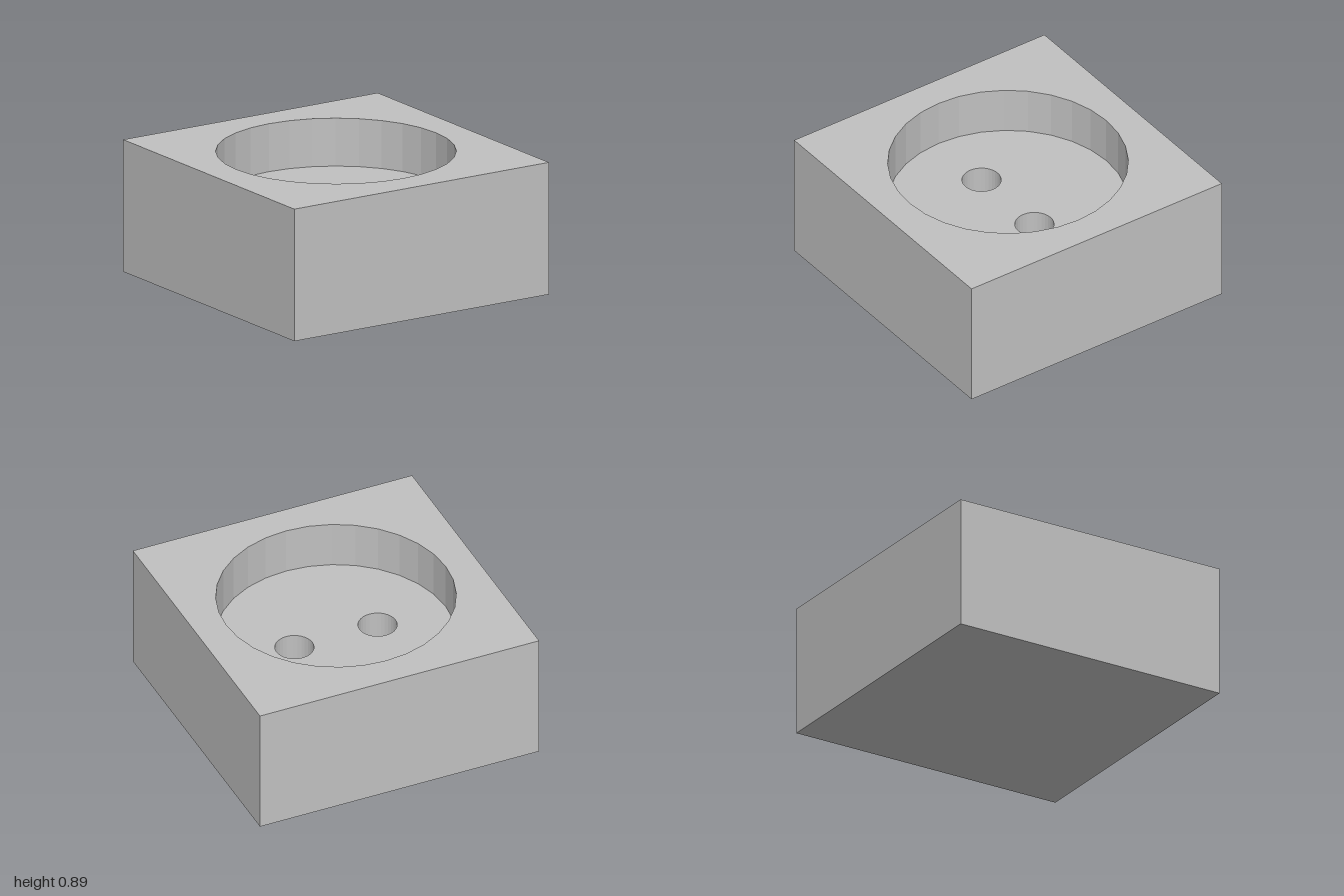
import * as THREE from 'three';

const HEIGHT = 0.895, FLOOR = 0.57, HOLE_BOTTOM = 0.25;
const BOWL_R = 0.785, HOLE_R = 0.128, HOLE_X = 0.298, SIDES = 32;

// Points of a regular ring, used for outlines and cut-outs
function ring(r, cx = 0) {
  return Array.from({ length: SIDES }, (_, i) => {
    const a = (i / SIDES) * Math.PI * 2;
    return new THREE.Vector2(cx + r * Math.cos(a), r * Math.sin(a));
  });
}

// Flat upward face with optional holes
function face(outline, holes, y) {
  const shape = new THREE.Shape(outline);
  shape.holes = holes.map((points) => new THREE.Path(points));
  return new THREE.ShapeGeometry(shape).rotateX(-Math.PI / 2).translate(0, y, 0);
}

// Faceted round wall facing inward
function innerWall(r, y0, y1, cx = 0) {
  const wall = new THREE.CylinderGeometry(r, r, y1 - y0, SIDES, 1, true)
    .scale(-1, 1, 1).translate(cx, (y0 + y1) / 2, 0).toNonIndexed();
  wall.computeVertexNormals();
  return wall;
}

export function createModel() {
  const group = new THREE.Group();
  group.name = 'socketBlock';
  const grey = new THREE.MeshStandardMaterial({ color: 0xc0c0c0 });
  grey.name = 'light grey';
  const add = (name, geometry) => {
    const mesh = new THREE.Mesh(geometry, grey);
    mesh.name = name;
    group.add(mesh);
  };

  // Block sides and underside, with the box's top face left out
  const block = new THREE.BoxGeometry(2, HEIGHT, 2).translate(0, HEIGHT / 2, 0);
  block.setIndex(Array.from(block.index.array).filter((_, i) => i < 12 || i >= 18));
  block.clearGroups();
  add('blockSides', block);

  // Top face around the round recess
  const square = [[-1, -1], [1, -1], [1, 1], [-1, 1]].map(([x, y]) => new THREE.Vector2(x, y));
  add('topFace', face(square, [ring(BOWL_R)], HEIGHT));

  // Round recess
  add('recessWall', innerWall(BOWL_R, FLOOR, HEIGHT));
  add('recessFloor', face(ring(BOWL_R), [ring(HOLE_R, -HOLE_X), ring(HOLE_R, HOLE_X)], FLOOR));

  // Two blind pin holes
  for (const [side, x] of [['left', HOLE_X], ['right', -HOLE_X]]) {
    add(side + 'HoleWall', innerWall(HOLE_R, HOLE_BOTTOM, FLOOR, x));
    add(side + 'HoleFloor', face(ring(HOLE_R, x), [], HOLE_BOTTOM));
  }
  return group;
}
